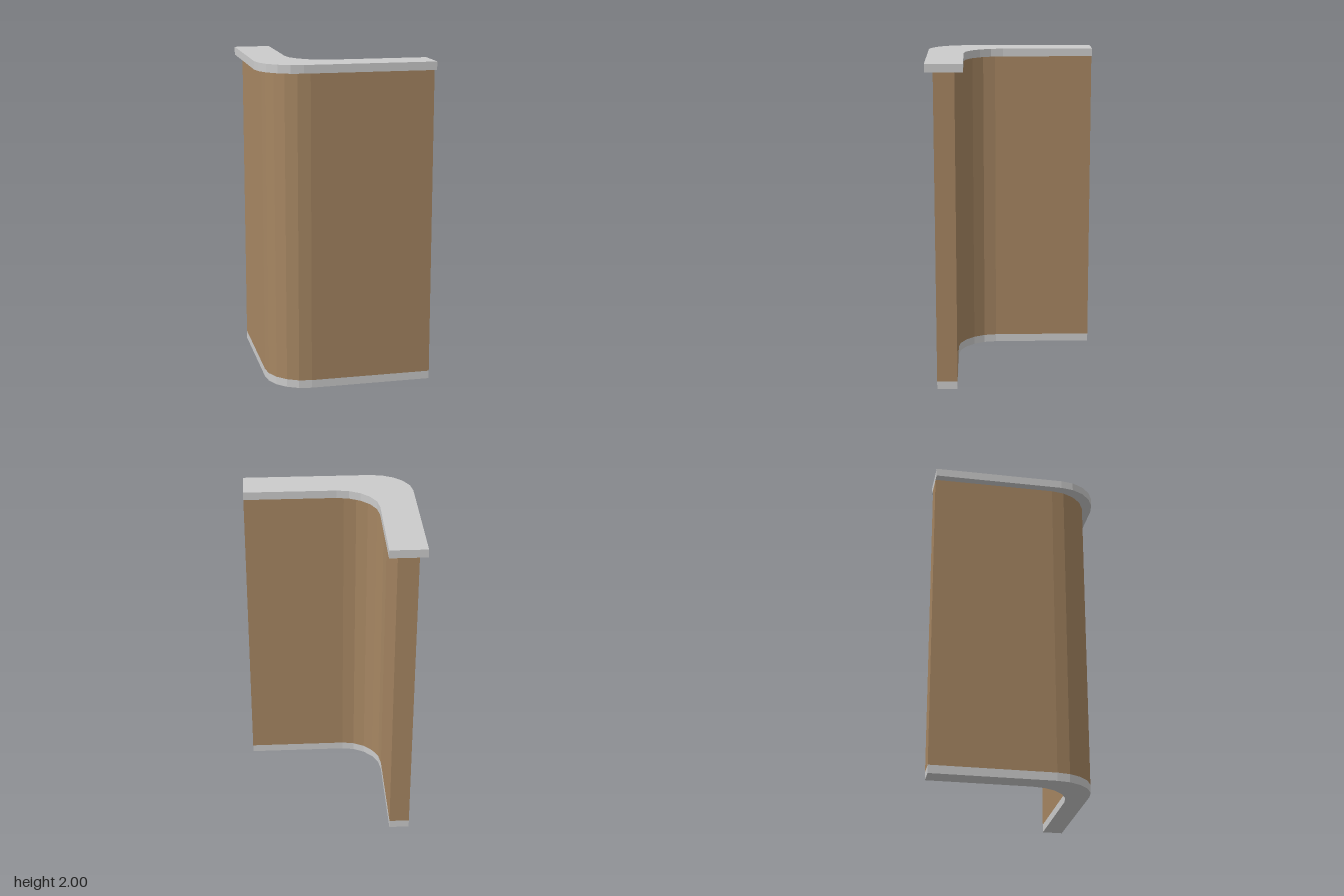
import * as THREE from 'three';

const END = 0.525;    // where both arms stop (+x and -z)
const RADIUS = 0.25;  // bend radius, inside and outside
const SIDES = 5;      // facets per bend

// Bend points of an edge lying at distance d from the centre lines
function bend(d) {
  const c = d - RADIUS;
  return Array.from({ length: SIDES + 1 }, (_, i) => {
    const a = (i / SIDES) * Math.PI / 2;
    return new THREE.Vector2(-c - RADIUS * Math.cos(a), -c - RADIUS * Math.sin(a));
  });
}

// L-shaped slab with a rounded corner, from height y0 to y1
function lSlab(name, outer, inner, y0, y1, color) {
  const shape = new THREE.Shape([
    new THREE.Vector2(-outer, END),
    ...bend(outer),
    new THREE.Vector2(END, -outer),
    new THREE.Vector2(END, -inner),
    ...bend(inner).reverse(),
    new THREE.Vector2(-inner, END),
  ]);
  const geometry = new THREE.ExtrudeGeometry(shape, { depth: y1 - y0, bevelEnabled: false });
  geometry.rotateX(-Math.PI / 2).translate(0, y0, 0);
  const mesh = new THREE.Mesh(geometry, new THREE.MeshStandardMaterial({ color, flatShading: true }));
  mesh.name = name;
  return mesh;
}

export function createModel() {
  const model = new THREE.Group();
  model.name = 'cornerCounter';
  model.add(
    lSlab('basePlinth', 0.475, 0.35, 0, 0.05, 0xcccccc),
    lSlab('wallPanel', 0.475, 0.35, 0.05, 1.95, 0xa68662),
    lSlab('counterTop', 0.525, 0.3, 1.95, 2, 0xcccccc),
  );
  return model;
}
